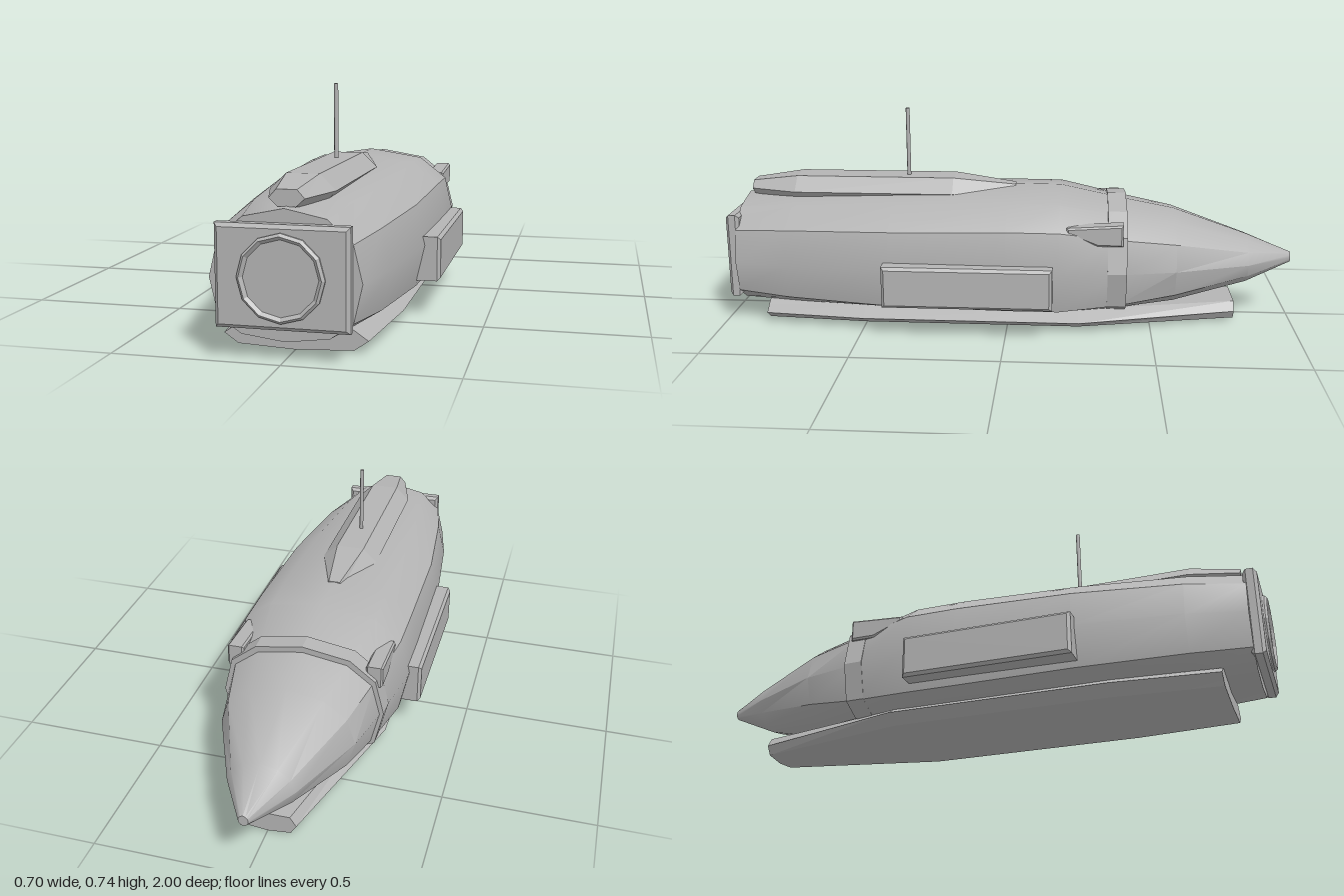
import * as THREE from 'three';
import { toCreasedNormals } from 'three/addons/utils/BufferGeometryUtils.js';

const grey = new THREE.MeshStandardMaterial({ color: 0xb4b4b4 });
grey.name = 'hull grey';

// Sections run front to back; each holds z and its left half outline, top to bottom.
function loft(sections, crease) {
  const rings = sections.map(({ z, half }) => {
    const right = half.filter(p => p[0] > 0).reverse().map(([x, y]) => [-x, y]);
    return [...half, ...right].map(([x, y]) => [x, y, z]);
  });
  const n = rings[0].length, index = [], last = (rings.length - 1) * n;
  for (let i = 0; i < rings.length - 1; i++) {
    for (let j = 0; j < n; j++) {
      const a = i * n + j, b = i * n + (j + 1) % n;
      index.push(a, b, a + n, b, b + n, a + n);
    }
  }
  for (let j = 1; j < n - 1; j++) {
    index.push(0, j + 1, j, last, last + j, last + j + 1);
  }
  const g = new THREE.BufferGeometry();
  g.setAttribute('position', new THREE.Float32BufferAttribute(rings.flat(2), 3));
  g.setIndex(index);
  return toCreasedNormals(g, crease);
}

// Hull outline: k = 0 is the flat-bottomed midship shape, k = 1 is round.
function hullSection([z, w, top, bottom, k]) {
  const mid = [[0, 1], [0.6, 0.93], [0.9, 0.755], [1, 0.43], [0.9, 0.085], [0.66, 0.02], [0, 0]];
  const half = mid.map(([x, t], i) => {
    const a = i * Math.PI / 6;
    const rx = i === 0 || i === 6 ? 0 : Math.sin(a);
    const f = THREE.MathUtils.lerp(t, 0.5 + 0.5 * Math.cos(a), k);
    return [THREE.MathUtils.lerp(x, rx, k) * w, bottom + (top - bottom) * f];
  });
  return { z, half };
}

// Side profile given as (z, y), extruded across x with chamfered edges.
function acrossX(points, x0, x1, bevel) {
  const shape = new THREE.Shape(points.map(([z, y]) => new THREE.Vector2(-z, y)));
  const g = new THREE.ExtrudeGeometry(shape, {
    depth: x1 - x0 - 2 * bevel, bevelEnabled: true, bevelSegments: 1,
    bevelSize: bevel, bevelThickness: bevel, bevelOffset: -bevel,
  });
  return g.translate(0, 0, x0 + bevel).rotateY(Math.PI / 2);
}

export function createModel() {
  const model = new THREE.Group();
  const add = (name, geometry) => {
    const mesh = new THREE.Mesh(geometry, grey);
    mesh.name = name;
    model.add(mesh);
    return mesh;
  };

  // Hull with pointed nose: z, half width, top, bottom, roundness
  add('hull', loft([
    [0.95, 0.22, 0.428, 0.053, 0.5],
    [0.76, 0.262, 0.445, 0.055, 0.3],
    [0.4, 0.303, 0.46, 0.056, 0.1],
    [0, 0.31, 0.473, 0.056, 0],
    [-0.18, 0.31, 0.472, 0.056, 0],
    [-0.38, 0.27, 0.43, 0.062, 0.2],
    [-0.58, 0.225, 0.392, 0.075, 0.6],
    [-0.84, 0.11, 0.302, 0.13, 1],
    [-1, 0.016, 0.237, 0.2, 1],
  ].map(hullSection), 0.55));

  // Collar behind the nose cone
  add('collar', loft([
    [-0.345, 0.279, 0.445, 0.058, 0.2],
    [-0.41, 0.277, 0.445, 0.058, 0.2],
  ].map(hullSection), 0.1));

  // Keel board
  add('keel', loft([[0.85, 0.215], [0.5, 0.25], [-0.25, 0.25], [-0.8, 0.095]].map(([z, w]) => ({
    z, half: [[w * 0.78, 0.072], [w, 0.04], [w * 0.8, 0.01], [0, 0.002]],
  })), 0.2));

  // Dorsal fairing: z, top width and height, middle width and height, base
  add('dorsalFairing', loft([
    [0.925, 0.03, 0.477, 0.052, 0.452, 0.026, 0.428],
    [0.76, 0.05, 0.5, 0.1, 0.452, 0.06, 0.41],
    [0.2, 0.05, 0.5, 0.1, 0.452, 0.06, 0.41],
    [-0.02, 0.02, 0.474, 0.03, 0.455, 0.02, 0.43],
  ].map(([z, a, ya, b, yb, c, yc]) => ({ z, half: [[a, ya], [b, yb], [c, yc]] })), 0.1));

  // Antenna
  add('antenna', new THREE.CylinderGeometry(0.007, 0.007, 0.26, 8).translate(0, 0.61, 0.365));

  // Chamfered plate on the front
  const plate = new THREE.Shape([[-0.182, 0.104], [0.182, 0.104], [0.182, 0.377], [-0.182, 0.377]]
    .map(p => new THREE.Vector2(...p)));
  add('frontPlate', new THREE.ExtrudeGeometry(plate, {
    depth: 0.024, bevelSegments: 1, bevelSize: 0.011, bevelThickness: 0.011,
  }).translate(0, 0, 0.951));

  // Twelve-sided port ring with a recessed face
  const port = new THREE.LatheGeometry([
    [0.126, -0.02], [0.126, 0.007], [0.118, 0.015], [0.108, 0.005], [0, 0.005],
  ].map(p => new THREE.Vector2(...p)), 12);
  port.rotateX(Math.PI / 2).translate(0, 0.241, 0.985);
  add('portRing', toCreasedNormals(port, 0.2));

  // Side pods and wedge brackets, mirrored
  for (const [side, turn] of [['left', 1], ['right', -1]]) {
    const pod = [[0.415, 0.118], [-0.16, 0.118], [-0.16, 0.261], [0.415, 0.261]];
    const bracket = [[-0.205, 0.365], [-0.31, 0.323], [-0.395, 0.323], [-0.395, 0.397], [-0.205, 0.385]];
    for (const [name, pts, x0, x1, bevel] of [
      ['Pod', pod, 0.24, 0.351, 0.01], ['Bracket', bracket, 0.21, 0.267, 0.006],
    ]) {
      // The right part is extruded over the opposite x range
      const range = turn > 0 ? [x0, x1] : [-x1, -x0];
      add(side + name, acrossX(pts, ...range, bevel));
    }
  }
  return model;
}
